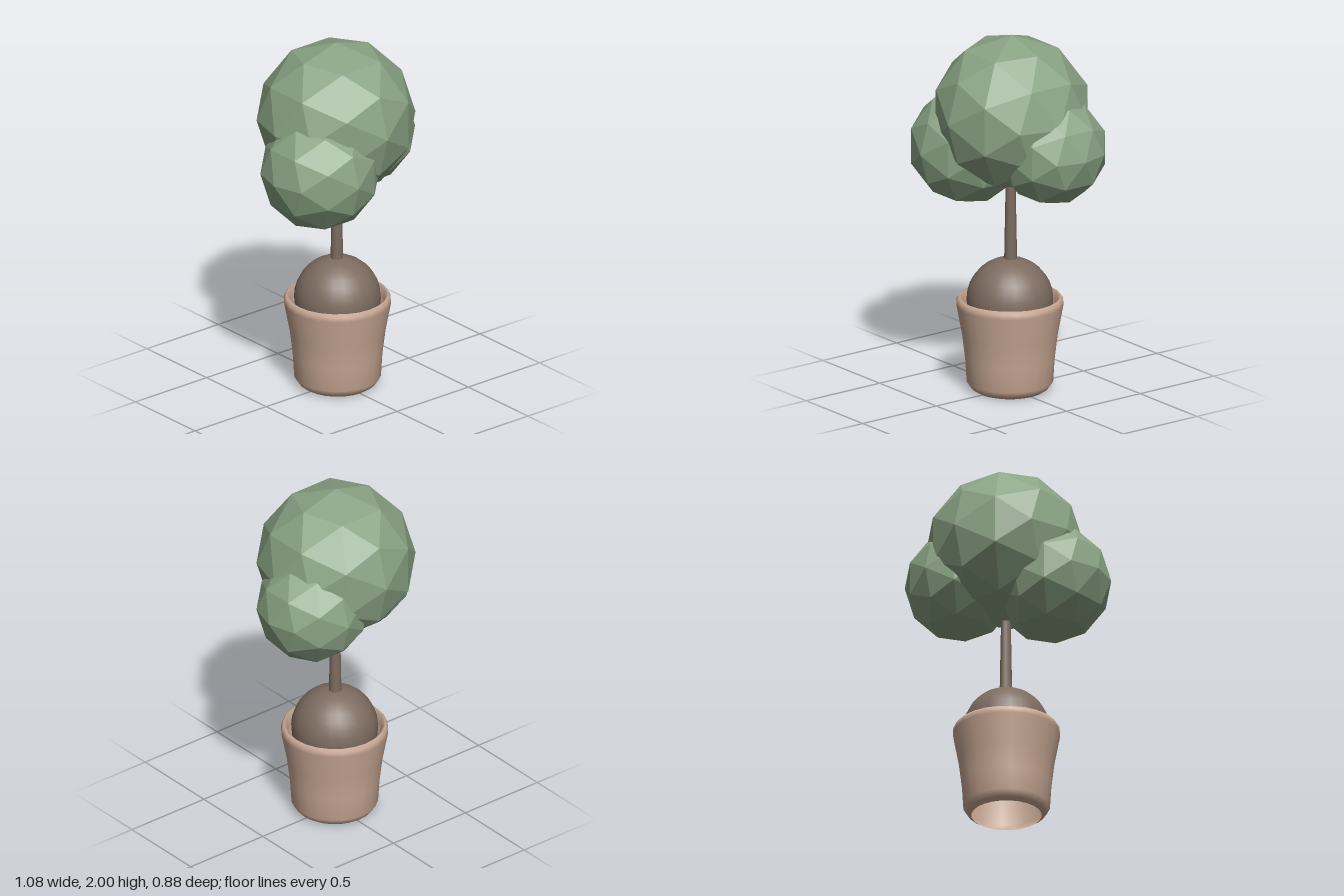
import * as THREE from 'three';

export function createModel() {
  const tree = new THREE.Group();
  tree.name = 'pottedTree';

  const leafMaterial = new THREE.MeshStandardMaterial({ color: 0x8aa384, flatShading: true });
  const woodMaterial = new THREE.MeshStandardMaterial({ color: 0x7d6c60 });
  const potMaterial = new THREE.MeshStandardMaterial({ color: 0xc8a894, side: THREE.DoubleSide });

  const add = (name, geometry, material, x, y, z) => {
    const mesh = new THREE.Mesh(geometry, material);
    mesh.name = name;
    mesh.position.set(x, y, z);
    tree.add(mesh);
  };

  // Thin flared pot, open at the top and at the drainage hole
  const potProfile = [
    [0.19, 0], [0.212, 0.015], [0.235, 0.05], [0.243, 0.18], [0.26, 0.32],
    [0.29, 0.48], [0.288, 0.505], [0.275, 0.523], [0.26, 0.515], [0.25, 0.47],
  ].map(([r, y]) => new THREE.Vector2(r, y));
  add('pot', new THREE.LatheGeometry(potProfile, 24), potMaterial, 0, 0, 0);

  // Rounded root ball and tapering trunk
  add('rootBall', new THREE.SphereGeometry(0.235, 24, 16), woodMaterial, 0, 0.505, 0);
  add('trunk', new THREE.CylinderGeometry(0.024, 0.036, 0.65, 10), woodMaterial, 0, 1.0, -0.005);

  // Faceted foliage: one large crown with a smaller clump on each side
  const clumps = [
    ['crown', 0.432, 0, 1.568, -0.012],
    ['rightClump', 0.325, -0.218, 1.35, 0.115],
    ['leftClump', 0.305, 0.235, 1.395, -0.1],
  ];
  for (const [name, radius, x, y, z] of clumps) {
    add(name, new THREE.IcosahedronGeometry(radius, 1), leafMaterial, x, y, z);
  }

  return tree;
}
